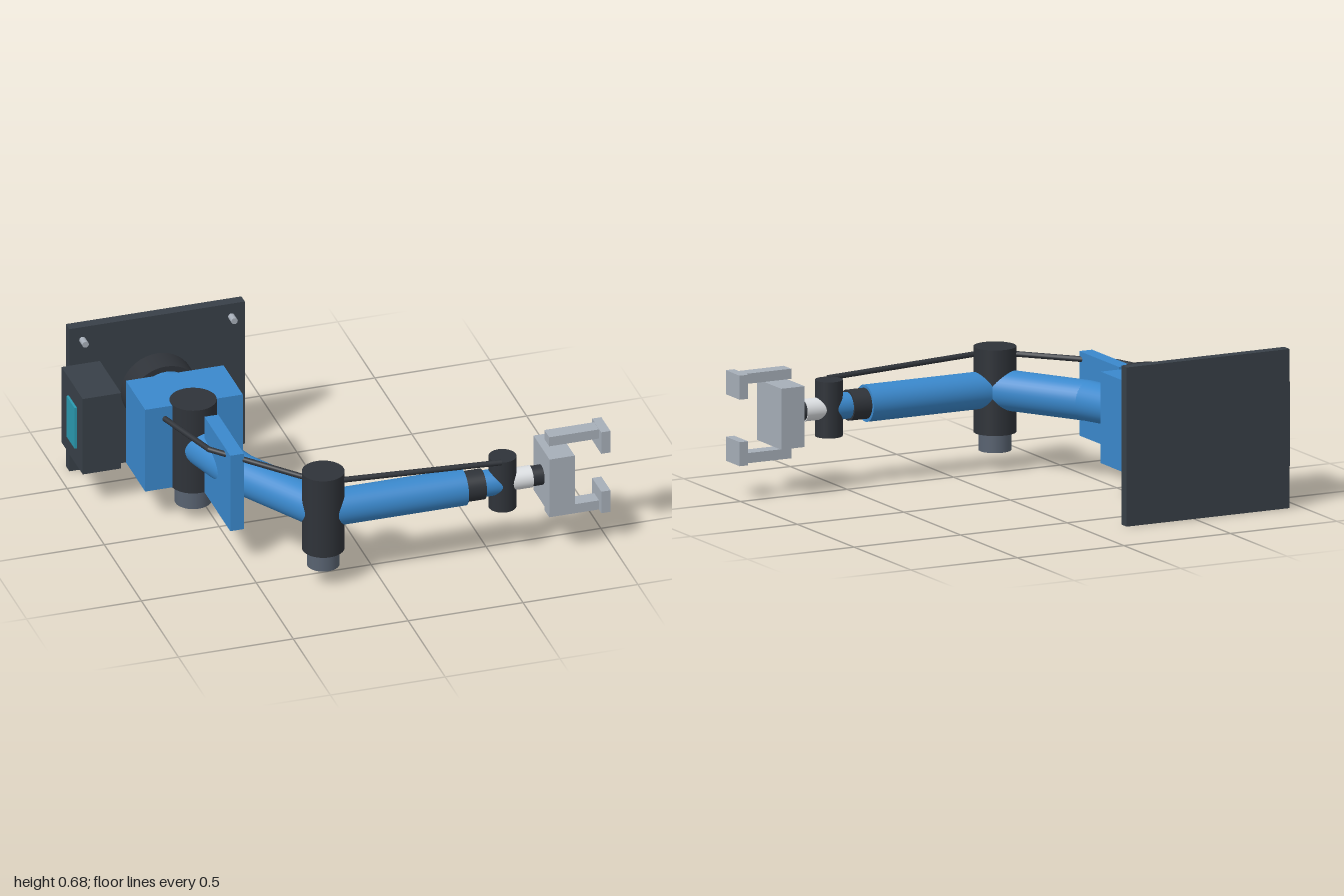
import * as THREE from 'three';

const mat = (color) => new THREE.MeshStandardMaterial({ color });

export function createModel() {
  const root = new THREE.Group();
  const blue = mat(0x3a88cc), dark = mat(0x384048), black = mat(0x2f3339);
  const motor = mat(0x586270), silver = mat(0xa6aeb8), pale = mat(0xdcdfe2), teal = mat(0x2a9ab0);

  const add = (name, geo, m) => {
    const mesh = new THREE.Mesh(geo, m);
    mesh.name = name;
    root.add(mesh);
    return mesh;
  };
  // Box given by its lower and upper corner
  const box = (name, m, [x0, y0, z0], [x1, y1, z1]) =>
    add(name, new THREE.BoxGeometry(x1 - x0, y1 - y0, z1 - z0), m)
      .position.set((x0 + x1) / 2, (y0 + y1) / 2, (z0 + z1) / 2);
  // Cylinder between two points
  const rod = (name, m, a, b, rA, rB = rA, seg = 40) => {
    const p = new THREE.Vector3(...a), q = new THREE.Vector3(...b);
    const d = q.clone().sub(p);
    const mesh = add(name, new THREE.CylinderGeometry(rB, rA, d.length(), seg), m);
    mesh.position.copy(p).add(q).multiplyScalar(0.5);
    mesh.quaternion.setFromUnitVectors(new THREE.Vector3(0, 1, 0), d.normalize());
  };

  const sx = -0.565, sz = -0.15; // shoulder axis
  const ex = -0.23, ez = 0.567;  // elbow axis
  const my = 0.34;               // arm height

  // Wall plate with bolts
  box('wallPlate', dark, [-0.947, 0, -0.682], [-0.183, 0.675, -0.636]);
  for (const x of [-0.89, -0.242])
    for (const y of [0.062, 0.615])
      rod('bolt', silver, [x, y, -0.64], [x, y, -0.592], 0.014, 0.014, 16);

  // Base and shoulder
  rod('baseFlange', black, [sx, my - 0.003, -0.64], [sx, my - 0.003, -0.518], 0.158);
  rod('baseNeck', blue, [sx, my, -0.52], [sx, my, -0.38], 0.13);
  box('shoulderHousing', blue, [-0.78, 0.145, -0.39], [-0.355, 0.533, -0.13]);
  rod('shoulderJoint', black, [sx, 0.143, sz], [sx, 0.536, sz], 0.098);
  rod('shoulderMotor', motor, [sx, 0.057, sz], [sx, 0.145, sz], 0.077);

  // Control box beside the base
  box('controlBox', dark, [-0.99, 0.16, -0.608], [-0.823, 0.518, -0.322]);
  box('controlScreen', teal, [-1, 0.242, -0.51], [-0.988, 0.435, -0.4]);

  // Bent upper arm
  const bend = [-0.46, my, 0.18];
  rod('upperArmRear', blue, [sx, my, sz], bend, 0.08, 0.085);
  add('upperArmBend', new THREE.SphereGeometry(0.085, 40, 24), blue).position.set(...bend);
  rod('upperArmFront', blue, bend, [ex, my, ez], 0.085);
  box('armShield', blue, [-0.556, 0.16, -0.025], [-0.496, 0.518, 0.323]);

  // Elbow
  rod('elbowJoint', black, [ex, 0.157, ez], [ex, 0.52, ez], 0.089);
  rod('elbowMotor', motor, [ex, 0.08, ez], [ex, 0.16, ez], 0.068);

  // Forearm and wrist
  rod('forearm', blue, [ex, my, ez], [0.38, my, ez], 0.078);
  rod('forearmCollar', black, [0.38, my, ez], [0.462, my, ez], 0.065);
  rod('wristLink', blue, [0.46, my, ez], [0.55, my, ez], 0.056);
  rod('wristJoint', black, [0.55, 0.22, ez], [0.55, 0.458, ez], 0.058);
  rod('wristShaft', pale, [0.55, my, ez], [0.672, my, ez], 0.047);
  rod('toolFlange', black, [0.672, my, ez], [0.725, my, ez], 0.043);

  // Gripper with mirrored fingers
  box('gripperBody', silver, [0.72, 0.21, 0.46], [0.83, 0.468, 0.675]);
  for (const s of [-1, 1]) {
    const span = (a, b) => [my + s * a, my + s * b].sort((u, v) => u - v);
    const [b0, b1] = span(0.147, 0.19), [t0, t1] = span(0.09, 0.192);
    box('gripperFinger', silver, [0.743, b0, 0.535], [0.965, b1, 0.6]);
    box('fingerTip', silver, [0.96, t0, 0.507], [1, t1, 0.63]);
  }

  // Cable along the arm
  const pts = [[-0.7, 0.486, -0.115], [-0.605, 0.486, 0.19], [-0.31, 0.486, 0.525],
    [-0.22, 0.489, 0.605], [0.53, 0.454, 0.613]];
  for (let i = 1; i < pts.length; i++) {
    rod('cable', black, pts[i - 1], pts[i], 0.012, 0.012, 12);
    if (i < pts.length - 1)
      add('cableBend', new THREE.SphereGeometry(0.012, 12, 8), black).position.set(...pts[i]);
  }
  return root;
}
